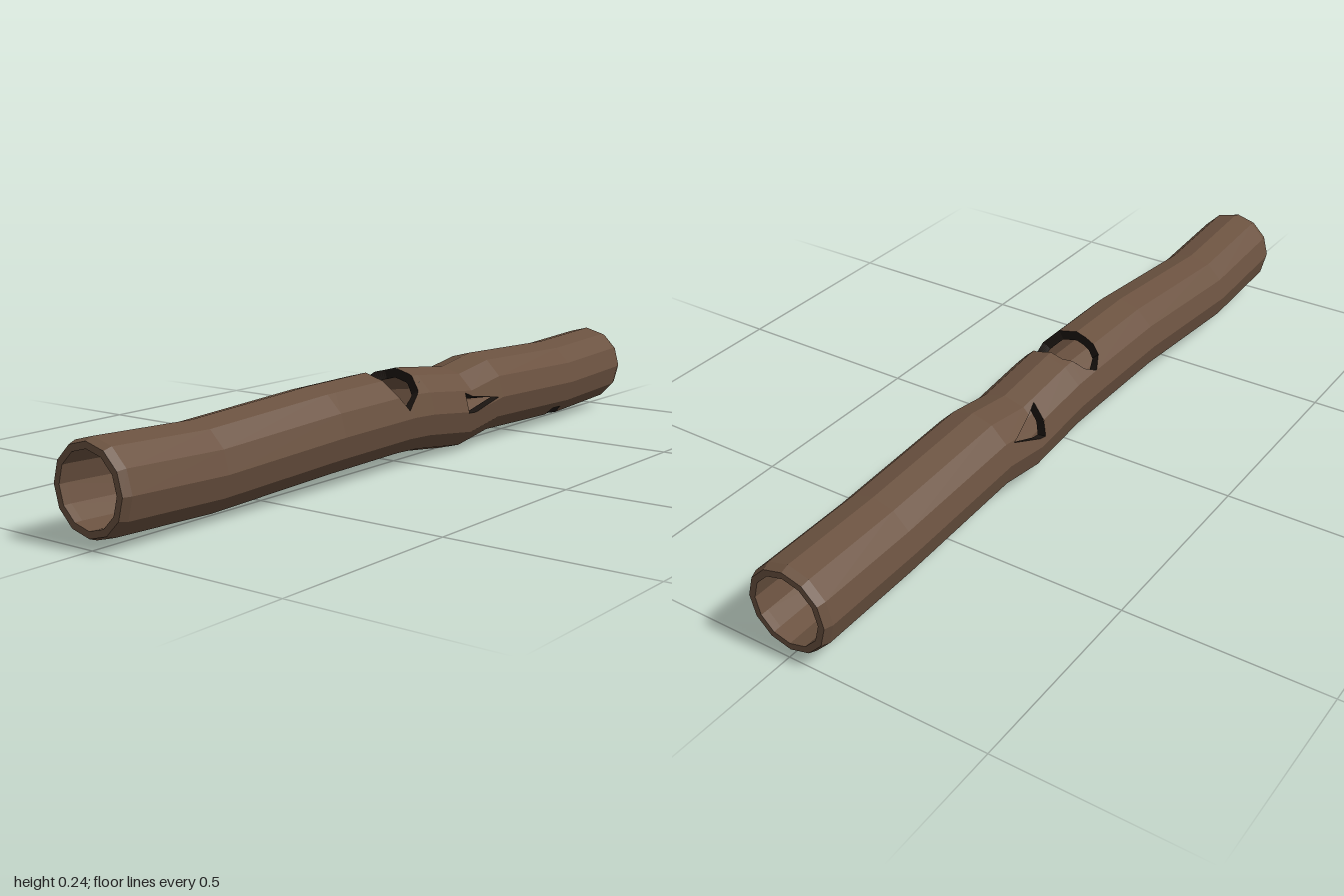
import * as THREE from 'three';

// Centre line of the log: [x, centre y, centre z, outer radius]
const STATIONS = [
  [-1, 0.124, -0.007, 0.100], [-0.98, 0.124, -0.007, 0.107], [-0.7, 0.112, -0.012, 0.106],
  [-0.33, 0.131, 0.003, 0.109], [-0.06, 0.134, 0.003, 0.109], [0.02, 0.130, 0.005, 0.108],
  [0.2, 0.109, 0.007, 0.108], [0.33, 0.129, 0.007, 0.108], [0.7, 0.117, 0.003, 0.107],
  [0.98, 0.125, -0.006, 0.107], [1, 0.125, -0.006, 0.100],
];
const SIDES = 12, INNER = 0.084;

// Convex holes as [x, u], u counting sides: 0 front, 3 top, 6 back, 9 bottom
const HOLES = {
  topHole: [[-0.075, 0.35], [-0.02, 1.2], [0, 2.2], [0, 3.6], [-0.03, 4.6], [-0.06, 5],
    [-0.1, 4.5], [-0.115, 3.5], [-0.12, 2], [-0.105, 1]],
  frontCrack: [[0.17, -0.05], [0.31, 0.1], [0.17, 0.9]],
  backCrack: [[0.165, 4.15], [0.3, 5.1], [0.18, 5.7]],
  bottomHole: [[0.67, 7.3], [0.7, 8.2], [0.71, 9.3], [0.69, 10.5], [0.65, 10.5], [0.63, 9.3], [0.64, 8.2]],
  bottomCrack: [[-0.72, 8.2], [-0.4, 9.5], [-0.7, 9.9]],
};

// Maps unrolled [x, u] onto the faceted outer or inner wall
function wallPoint([x, u], inner) {
  let i = 0;
  while (i < STATIONS.length - 2 && x > STATIONS[i + 1][0]) i++;
  const a = STATIONS[i], b = STATIONS[i + 1];
  const t = (x - a[0]) / (b[0] - a[0]);
  const [, cy, cz, r] = a.map((v, k) => v + (b[k] - v) * t);
  const radius = inner ? INNER : r;
  const k = Math.floor(u), f = u - k, step = (Math.PI * 2) / SIDES;
  const mix = (fn) => fn(k * step) * (1 - f) + fn((k + 1) * step) * f;
  return [x, cy + radius * mix(Math.sin), cz + radius * mix(Math.cos)];
}

// Keeps the part of a polygon on one side of the line a-b (sign 1: left)
function clip(poly, a, b, sign) {
  const side = (p) => sign * ((b[0] - a[0]) * (p[1] - a[1]) - (b[1] - a[1]) * (p[0] - a[0]));
  const out = [];
  poly.forEach((p, i) => {
    const q = poly[(i + 1) % poly.length], dp = side(p), dq = side(q);
    if (dp >= 0) out.push(p);
    if (dp * dq < 0) {
      const t = dp / (dp - dq);
      out.push([p[0] + (q[0] - p[0]) * t, p[1] + (q[1] - p[1]) * t]);
    }
  });
  return out;
}

// Splits a polygon into the convex pieces lying outside a hole
function subtract(poly, hole) {
  const pieces = [];
  let rest = poly;
  for (let i = 0; i < hole.length && rest.length > 2; i++) {
    const a = hole[i], b = hole[(i + 1) % hole.length];
    const outside = clip(rest, a, b, -1);
    if (outside.length > 2) pieces.push(outside);
    rest = clip(rest, a, b, 1);
  }
  return rest.length > 2 ? pieces : [poly];
}

function addFan(out, pts, flip) {
  for (let i = 1; i < pts.length - 1; i++) {
    const tri = flip ? [pts[0], pts[i + 1], pts[i]] : [pts[0], pts[i], pts[i + 1]];
    out.push(...tri.flat());
  }
}

function toMesh(name, positions, material) {
  const geometry = new THREE.BufferGeometry();
  geometry.setAttribute('position', new THREE.Float32BufferAttribute(positions, 3));
  geometry.computeVertexNormals();
  const mesh = new THREE.Mesh(geometry, material);
  mesh.name = name;
  return mesh;
}

export function createModel() {
  const group = new THREE.Group();
  group.name = 'hollowLog';
  const bark = new THREE.MeshStandardMaterial({ color: 0x6b5240, flatShading: true });
  const dark = new THREE.MeshStandardMaterial({ color: 0x1c1612, flatShading: true, side: THREE.DoubleSide });

  // Outer and inner walls, cell by cell, with the holes cut away
  const outer = [], inner = [];
  for (let s = 0; s < STATIONS.length - 1; s++) {
    const x0 = STATIONS[s][0], x1 = STATIONS[s + 1][0];
    for (let u = -1; u < SIDES - 1; u++) {
      let pieces = [[[x0, u], [x1, u], [x1, u + 1], [x0, u + 1]]];
      for (const hole of Object.values(HOLES)) pieces = pieces.flatMap((p) => subtract(p, hole));
      // Keep corners on this cell's own facet
      const inCell = ([x, v]) => [x, Math.min(Math.max(v, u), u + 1)];
      for (const piece of pieces) {
        addFan(outer, piece.map((p) => wallPoint(inCell(p), false)), false);
        addFan(inner, piece.map((p) => wallPoint(inCell(p), true)), true);
      }
    }
  }
  group.add(toMesh('outerBark', outer, bark), toMesh('innerWall', inner, bark));

  // Flat rims closing the wall at both ends
  for (const x of [-1, 1]) {
    const rim = [];
    for (let u = 0; u < SIDES; u++) {
      const quad = [wallPoint([x, u], true), wallPoint([x, u], false),
        wallPoint([x, u + 1], false), wallPoint([x, u + 1], true)];
      addFan(rim, quad, x > 0);
    }
    group.add(toMesh(x > 0 ? 'leftRim' : 'rightRim', rim, bark));
  }
  // Rims face outward along x
  for (const rim of group.children.slice(2)) {
    const wanted = rim.name === 'leftRim' ? 1 : -1;
    if (rim.geometry.attributes.normal.getX(0) * wanted < 0) rim.material = Object.assign(bark.clone(), { side: THREE.BackSide });
  }

  // Dark cut faces joining outer and inner walls around each hole
  for (const [name, hole] of Object.entries(HOLES)) {
    const cut = [], steps = 12;
    hole.forEach((a, i) => {
      const b = hole[(i + 1) % hole.length];
      const at = (t) => [a[0] + (b[0] - a[0]) * t, a[1] + (b[1] - a[1]) * t];
      for (let k = 0; k < steps; k++) {
        const p = at(k / steps), q = at((k + 1) / steps);
        addFan(cut, [wallPoint(p, false), wallPoint(q, false), wallPoint(q, true), wallPoint(p, true)], false);
      }
    });
    group.add(toMesh(name + 'Edge', cut, dark));
  }
  return group;
}
